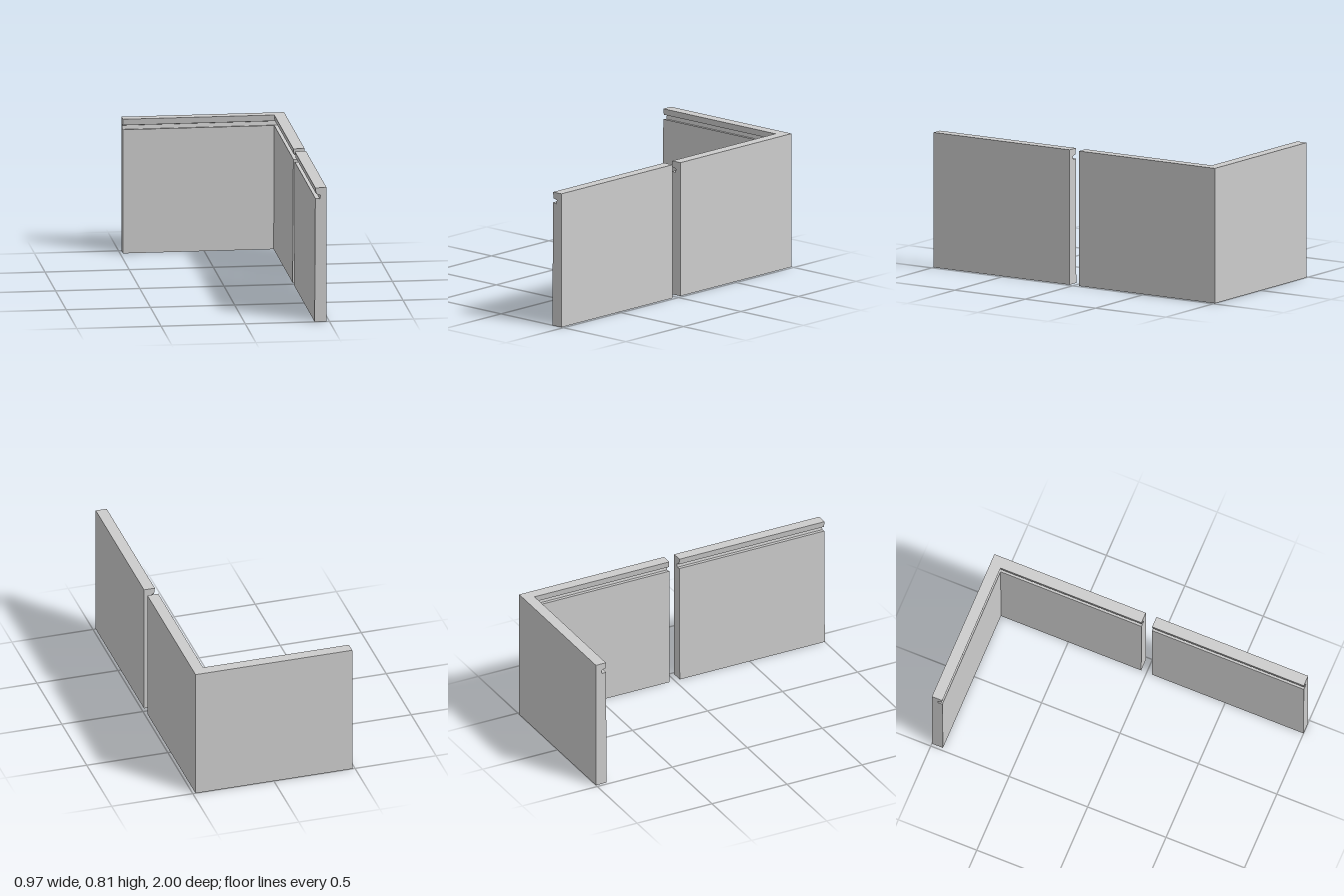
import * as THREE from 'three';

const X = 0.483; // outer face of the side walls

// Wall cross-section: [depth inward from the outer face, height], with a groove under the top lip
const profile = [
  [0, 0], [0.071, 0], [0.067, 0.747], [0.04, 0.743],
  [0.036, 0.766], [0.062, 0.773], [0.067, 0.81], [0, 0.81],
];

// Sweep the profile along stations; each station maps a depth to [x, z], which mitres the corners
function wall(name, stations) {
  const n = profile.length;
  const positions = [];
  for (const station of stations) {
    for (const [d, y] of profile) {
      const [x, z] = station(d);
      positions.push(x, y, z);
    }
  }
  const index = [];
  for (let s = 0; s < stations.length - 1; s++) {
    for (let i = 0; i < n; i++) {
      const j = (i + 1) % n;
      const a = s * n + i, b = s * n + j;
      index.push(a, b, b + n, a, b + n, a + n);
    }
  }
  // End caps
  const last = (stations.length - 1) * n;
  const outline = profile.map(([d, y]) => new THREE.Vector2(d, y));
  for (const [a, b, c] of THREE.ShapeUtils.triangulateShape(outline, [])) {
    index.push(a, c, b, last + a, last + b, last + c);
  }
  const indexed = new THREE.BufferGeometry();
  indexed.setAttribute('position', new THREE.Float32BufferAttribute(positions, 3));
  indexed.setIndex(index);
  const geometry = indexed.toNonIndexed();
  geometry.computeVertexNormals();
  const material = new THREE.MeshStandardMaterial({ color: 0xcccccc, flatShading: true });
  const mesh = new THREE.Mesh(geometry, material);
  mesh.name = name;
  return mesh;
}

export function createModel() {
  const group = new THREE.Group();
  group.name = 'groovedWallPanels';

  // Straight front panel
  group.add(wall('straightPanel', [
    (d) => [X - d, 1],
    (d) => [X - d, 0.033],
  ]));

  // L-shaped panel: side wall, mitred corner, back wall
  group.add(wall('cornerPanel', [
    (d) => [X - d, -0.035],
    (d) => [X - d, -1 + d],
    (d) => [-X, -1 + d],
  ]));

  return group;
}
